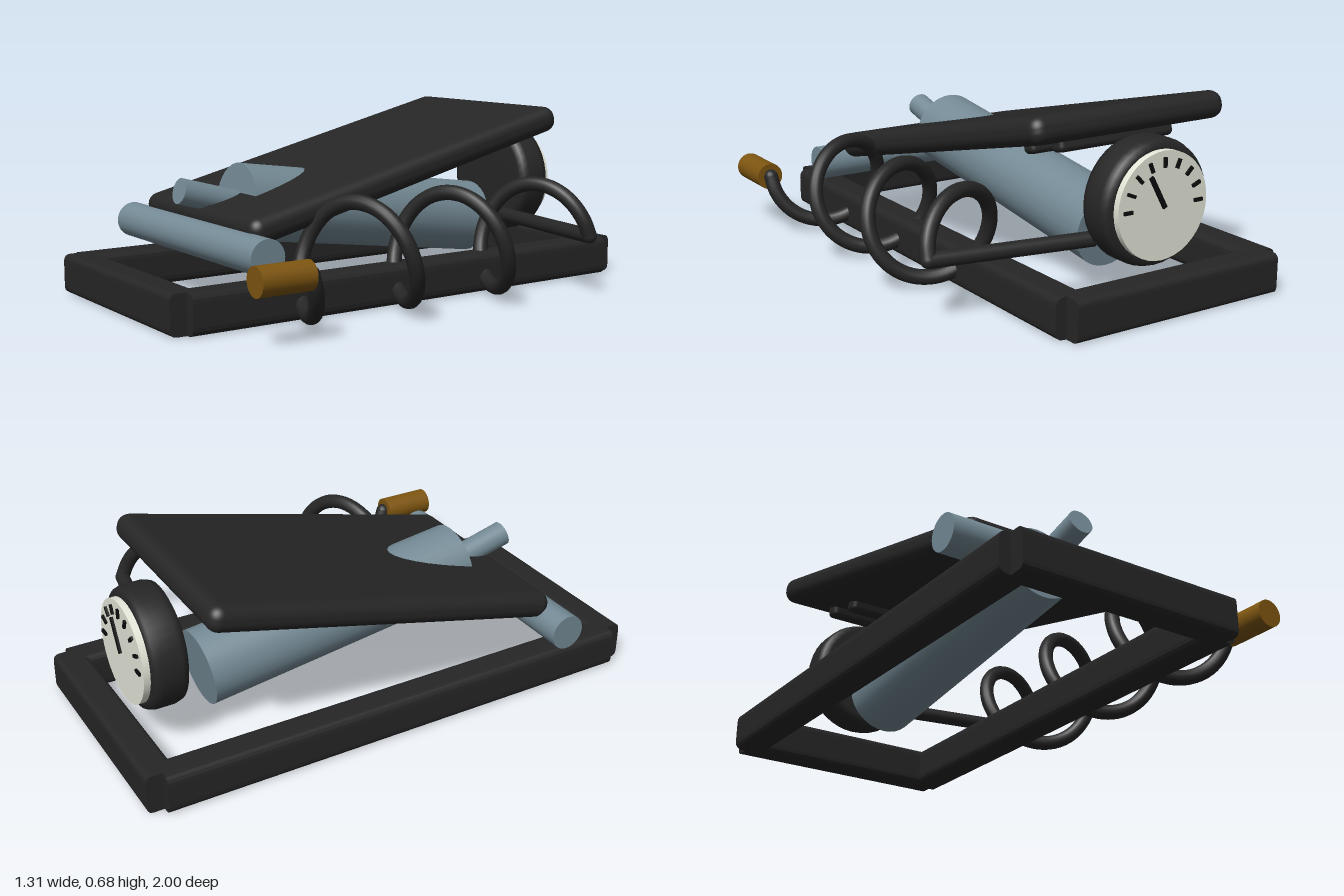
import * as THREE from 'three';
import { RoundedBoxGeometry } from 'three/addons/geometries/RoundedBoxGeometry.js';

const mat = (name, color) => {
  const m = new THREE.MeshStandardMaterial({ color });
  m.name = name;
  return m;
};

// Bar with a rounded w x h profile, extruded along z and centred
function barGeometry(w, h, length, r) {
  const s = new THREE.Shape();
  const x = w / 2, y = h / 2;
  s.moveTo(-x + r, -y);
  s.lineTo(x - r, -y);
  s.quadraticCurveTo(x, -y, x, -y + r);
  s.lineTo(x, y - r);
  s.quadraticCurveTo(x, y, x - r, y);
  s.lineTo(-x + r, y);
  s.quadraticCurveTo(-x, y, -x, y - r);
  s.lineTo(-x, -y + r);
  s.quadraticCurveTo(-x, -y, -x + r, -y);
  const g = new THREE.ExtrudeGeometry(s, { depth: length, bevelEnabled: false, curveSegments: 4 });
  return g.translate(0, 0, -length / 2);
}

export function createModel() {
  const model = new THREE.Group();
  const black = mat('black', 0x262626);
  const steel = mat('steel', 0x748a95);
  const brass = mat('brass', 0x7d5510);
  const dialWhite = mat('dial white', 0xeceee0);
  const ink = mat('ink', 0x0c0c0c);

  const add = (name, geometry, material, parent = model) => {
    const m = new THREE.Mesh(geometry, material);
    m.name = name;
    parent.add(m);
    return m;
  };

  // Solid cylinder running between two points
  const rod = (name, from, to, radius, material) => {
    const a = new THREE.Vector3(...from), b = new THREE.Vector3(...to);
    const m = add(name, new THREE.CylinderGeometry(radius, radius, a.distanceTo(b), 32), material);
    m.position.copy(a).add(b).multiplyScalar(0.5);
    m.quaternion.setFromUnitVectors(new THREE.Vector3(0, 1, 0), b.sub(a).normalize());
    return m;
  };

  // Base frame: two long rails and two cross rails
  const cx = -0.142;
  for (const s of [-1, 1]) {
    add('sideRail', barGeometry(0.125, 0.147, 1.875, 0.032), black)
      .position.set(cx + s * 0.416, 0.0735, 0);
    const end = add('endRail', barGeometry(0.117, 0.147, 0.872, 0.025), black);
    end.rotation.y = Math.PI / 2;
    end.position.set(cx, 0.0735, s * 0.9415);
  }

  // Sloping pedal with grip ribs beneath
  const pedal = new THREE.Group();
  pedal.name = 'pedal';
  pedal.position.set(cx, 0.472, -0.03);
  pedal.rotation.x = 0.241;
  model.add(pedal);
  add('pedalPlate', new RoundedBoxGeometry(0.835, 0.1, 1.435, 4, 0.045), black, pedal);
  for (const z of [-0.58, -0.41]) {
    add('pedalRib', new RoundedBoxGeometry(0.5, 0.06, 0.065, 3, 0.02), black, pedal)
      .position.set(0, -0.06, z);
  }

  // Axle, pump barrel and piston rod
  rod('axle', [-0.656, 0.243, 0.673], [0.375, 0.243, 0.673], 0.067, steel);
  rod('barrel', [cx, 0.209, -0.6], [cx, 0.36, 0.5], 0.144, steel);
  rod('pistonRod', [cx, 0.3, 0.3], [cx, 0.417, 0.733], 0.048, steel);

  // Pressure gauge facing the back
  const gauge = new THREE.Group();
  gauge.name = 'gauge';
  gauge.position.set(cx, 0.364, -0.72);
  gauge.rotation.y = Math.PI;
  model.add(gauge);
  const profile = [[0, 0], [0.195, 0], [0.218, 0.01], [0.226, 0.035], [0.226, 0.105],
    [0.218, 0.13], [0.195, 0.14], [0, 0.14]].map(([x, y]) => new THREE.Vector2(x, y));
  add('gaugeBody', new THREE.LatheGeometry(profile, 40).rotateX(Math.PI / 2), black, gauge);
  const face = add('gaugeFace', new THREE.CylinderGeometry(0.192, 0.192, 0.03, 40), dialWhite, gauge);
  face.rotation.x = Math.PI / 2;
  face.position.z = 0.15;
  for (let i = 0; i <= 8; i++) {
    const a = (i / 8) * Math.PI;
    const tick = add('gaugeTick', new THREE.BoxGeometry(0.035, 0.012, 0.009), ink, gauge);
    tick.position.set(Math.cos(a) * 0.152, Math.sin(a) * 0.152, 0.169);
    tick.rotation.z = a;
  }
  const needle = add('gaugeNeedle', new THREE.BoxGeometry(0.13, 0.016, 0.009), ink, gauge);
  const na = 2.08;
  needle.position.set(Math.cos(na) * 0.06, Math.sin(na) * 0.06, 0.172);
  needle.rotation.z = na;

  // Coiled hose: straight feed, then three turns
  const hoseR = 0.028;
  const start = new THREE.Vector3(0, 0.222, -0.692);
  const coil = [];
  for (let i = 0; i <= 60; i++) {
    const t = i / 20, a = t * Math.PI * 2;
    coil.push(new THREE.Vector3(0.415 + 0.185 * Math.cos(a), 0.225 + 0.185 * Math.sin(a), -0.59 + 0.412 * t));
  }
  rod('hoseFeed', start.toArray(), coil[0].toArray(), hoseR, black);
  add('hoseElbow', new THREE.SphereGeometry(hoseR, 16, 12), black).position.copy(coil[0]);
  add('hoseCoil', new THREE.TubeGeometry(new THREE.CatmullRomCurve3(coil), 180, hoseR, 14), black);
  add('hoseTip', new THREE.SphereGeometry(hoseR, 16, 12), black).position.copy(coil[60]);

  // Brass nozzle
  rod('nozzle', [0.6, 0.223, 0.653], [0.6, 0.223, 0.857], 0.052, brass);

  return model;
}
